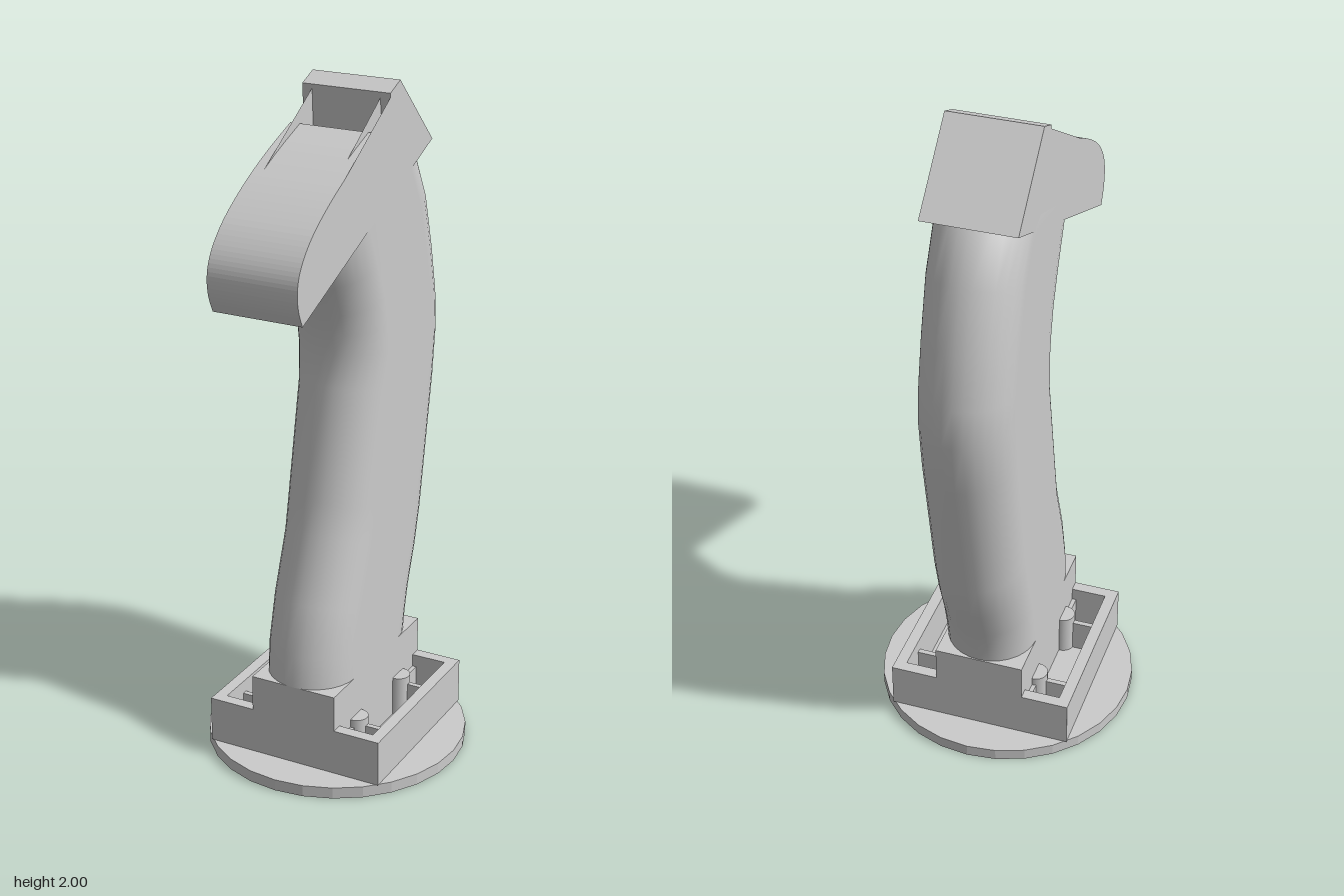
import * as THREE from 'three';

const material = new THREE.MeshStandardMaterial({ color: 0xcccccc });

export function createModel() {
  const model = new THREE.Group();
  const add = (name, geometry, x = 0, y = 0, z = 0) => {
    const mesh = new THREE.Mesh(geometry, material);
    mesh.name = name;
    mesh.position.set(x, y, z);
    model.add(mesh);
    return mesh;
  };
  const box = (name, w, h, d, x, y, z) => add(name, new THREE.BoxGeometry(w, h, d), x, y + h / 2, z);
  const v = (p) => new THREE.Vector2(p[0], p[1]);
  const rect = (w, d) => [[-w, -d], [w, -d], [w, d], [-w, d]].map(v);
  const circle = (r, n) => Array.from({ length: n }, (_, i) =>
    new THREE.Vector2(r * Math.cos(i / n * Math.PI * 2), r * Math.sin(i / n * Math.PI * 2)));

  // Plate with a hole, extruded upwards
  const plate = (name, outer, hole, y, h) => {
    const shape = new THREE.Shape(outer);
    shape.holes.push(new THREE.Path(hole));
    const g = new THREE.ExtrudeGeometry(shape, { depth: h, bevelEnabled: false });
    g.rotateX(-Math.PI / 2);
    return add(name, g, 0, y, 0);
  };

  // Base: round flange, open square tray, raised mounting block
  const bore = circle(0.08, 24);
  plate('baseFlange', circle(0.39, 28), bore, 0, 0.035);
  plate('trayWall', rect(0.278, 0.278), rect(0.243, 0.243), 0.035, 0.14);
  plate('mountingBlock', rect(0.135, 0.278), bore, 0.035, 0.2);
  box('mountingBlockTop', 0.27, 0.05, 0.556, 0, 0.235, 0);

  // Screw posts with ribs inside the tray
  for (const sx of [-1, 1]) {
    for (const sz of [-1, 1]) {
      add('screwPost', new THREE.CylinderGeometry(0.035, 0.035, 0.125, 20), sx * 0.138, 0.0975, sz * 0.14);
      box('postRib', 0.08, 0.1, 0.016, sx * 0.205, 0.035, sz * 0.14);
      box('blockStep', 0.02, 0.1, 0.1, sx * 0.138, 0.035, sz * 0.195);
    }
  }

  // Grip: stadium cross-sections lofted between front and back edge points [z, y, z, y]
  const sections = [
    [0.28, 0.285, -0.275, 0.285],
    [0.272, 0.38, -0.287, 0.345],
    [0.235, 0.53, -0.305, 0.41],
    [0.165, 0.72, -0.342, 0.51],
    [0.145, 0.82, -0.375, 0.63],
    [0.08, 1.15, -0.452, 1.04],
    [0.08, 1.25, -0.472, 1.2],
    [0.09, 1.31, -0.464, 1.32],
    [0.105, 1.37, -0.432, 1.475],
    [0.14, 1.46, -0.383, 1.65],
    [0.19, 1.572, -0.31, 1.788],
    [0.17, 1.65, -0.26, 1.8],
  ];
  const r = 0.135, arc = 14, ring = 2 * (arc + 1);
  const positions = [], index = [];
  sections.forEach(([fz, fy, bz, by], i) => {
    const front = new THREE.Vector2(fz, fy), back = new THREE.Vector2(bz, by);
    const d = front.clone().sub(back).normalize();
    for (const s of [1, -1]) {
      const centre = (s > 0 ? front : back).clone().addScaledVector(d, -s * r);
      for (let k = 0; k <= arc; k++) {
        const a = (k / arc - 0.5) * Math.PI;
        const p = centre.clone().addScaledVector(d, s * r * Math.cos(a));
        positions.push(s * r * Math.sin(a), p.y, p.x);
      }
    }
    if (i === 0) return;
    for (let k = 0; k < ring; k++) {
      const n = (k + 1) % ring, lo = (i - 1) * ring, hi = i * ring;
      index.push(lo + k, lo + n, hi + n, lo + k, hi + n, hi + k);
    }
  });
  const grip = new THREE.BufferGeometry();
  grip.setAttribute('position', new THREE.Float32BufferAttribute(positions, 3));
  grip.setIndex(index);
  grip.computeVertexNormals();
  add('grip', grip);

  // Head: side profile with hooked front, notch and rear peak; the hook is hollow below
  const headShape = (hollow) => {
    const s = new THREE.Shape();
    s.moveTo(0.45, 1.465);
    s.splineThru([[0.47, 1.51], [0.477, 1.56], [0.465, 1.61], [0.43, 1.66], [0.37, 1.712],
      [0.27, 1.773], [0.15, 1.83], [0.02, 1.88]].map(v));
    for (const p of [[-0.065, 1.68], [-0.05, 1.975], [-0.11, 2], [-0.32, 1.79]]) s.lineTo(...p);
    if (hollow) {
      s.lineTo(0.16, 1.589);
      s.lineTo(0.12, 1.79);
      s.splineThru([[0.25, 1.74], [0.35, 1.68], [0.41, 1.63], [0.44, 1.57], [0.42, 1.478]].map(v));
    }
    s.closePath();
    return s;
  };
  const slab = (name, shape, width, x) => {
    const g = new THREE.ExtrudeGeometry(shape, { depth: width, bevelEnabled: false, curveSegments: 4 });
    g.translate(0, 0, -width / 2);
    g.rotateY(-Math.PI / 2);
    add(name, g, x);
  };
  const wall = 0.03;
  slab('headCore', headShape(true), 2 * (r - wall), 0);
  for (const side of [-1, 1]) slab('headSide', headShape(false), wall, side * (r - wall / 2));

  return model;
}
